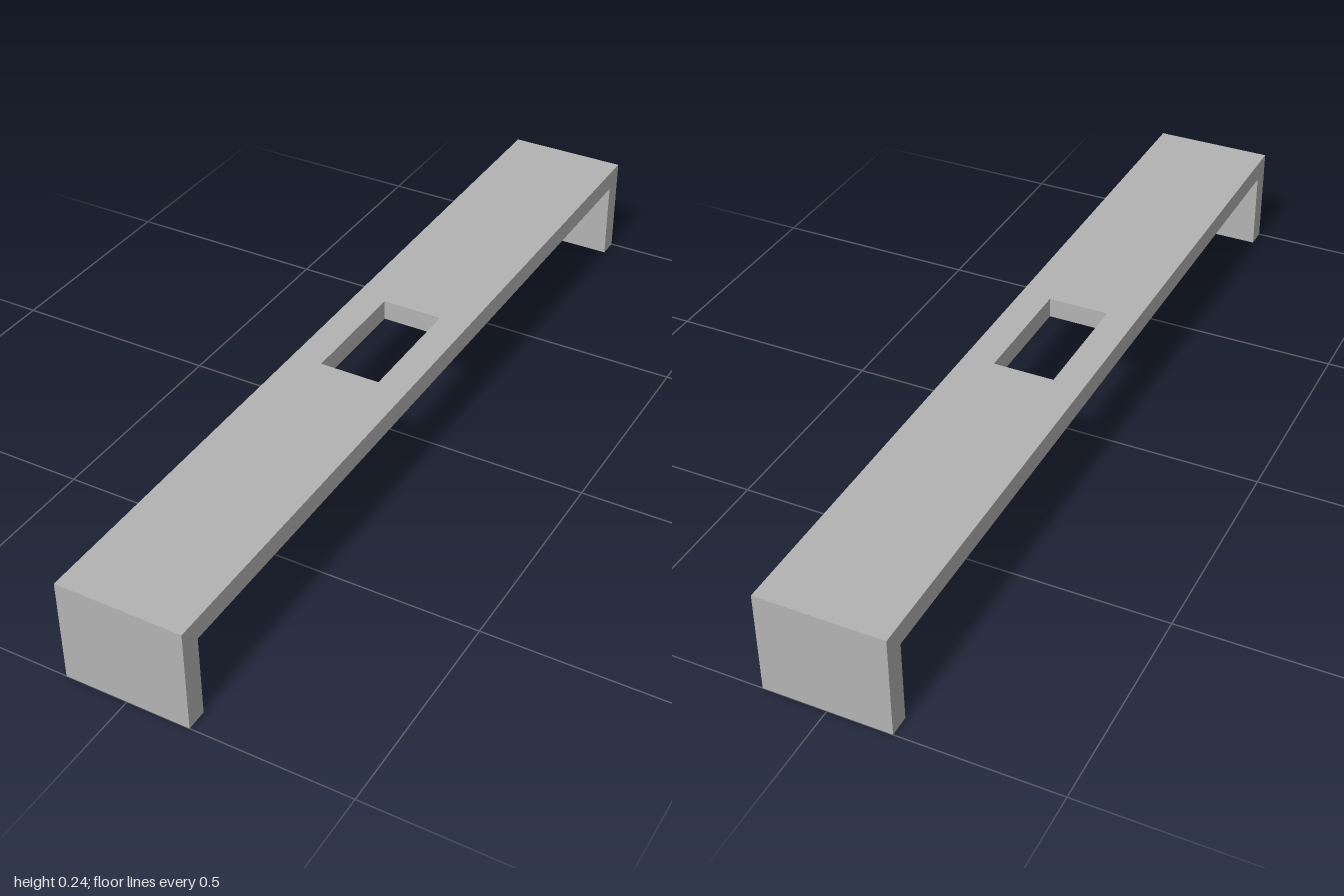
import * as THREE from 'three';

const UNIT = 2 / 42; // plate thickness
const LENGTH = 42 * UNIT, WIDTH = 6 * UNIT, HEIGHT = 5 * UNIT;

// Corners of a rectangle centred on the origin
function rectangle(w, h) {
  return [[-1, -1], [1, -1], [1, 1], [-1, 1]].map(
    ([x, y]) => new THREE.Vector2((x * w) / 2, (y * h) / 2));
}

export function createModel() {
  const model = new THREE.Group();
  model.name = 'bracket';
  const grey = new THREE.MeshStandardMaterial({ color: 0xb3b3b3 });
  grey.name = 'plain grey';

  // Long flat deck with a rectangular slot through its middle
  const outline = new THREE.Shape(rectangle(WIDTH, LENGTH));
  outline.holes.push(new THREE.Path(rectangle(3 * UNIT, 6 * UNIT).reverse()));
  const deckGeometry = new THREE.ExtrudeGeometry(outline, { depth: UNIT, bevelEnabled: false });
  deckGeometry.rotateX(Math.PI / 2);
  const deck = new THREE.Mesh(deckGeometry, grey);
  deck.name = 'deck';
  deck.position.y = HEIGHT;
  model.add(deck);

  // Full-width leg plate under each end
  const legHeight = HEIGHT - UNIT;
  const legGeometry = new THREE.BoxGeometry(WIDTH, legHeight, UNIT);
  for (const [name, side] of [['frontLeg', 1], ['backLeg', -1]]) {
    const leg = new THREE.Mesh(legGeometry, grey);
    leg.name = name;
    leg.position.set(0, legHeight / 2, side * (LENGTH - UNIT) / 2);
    model.add(leg);
  }

  return model;
}
